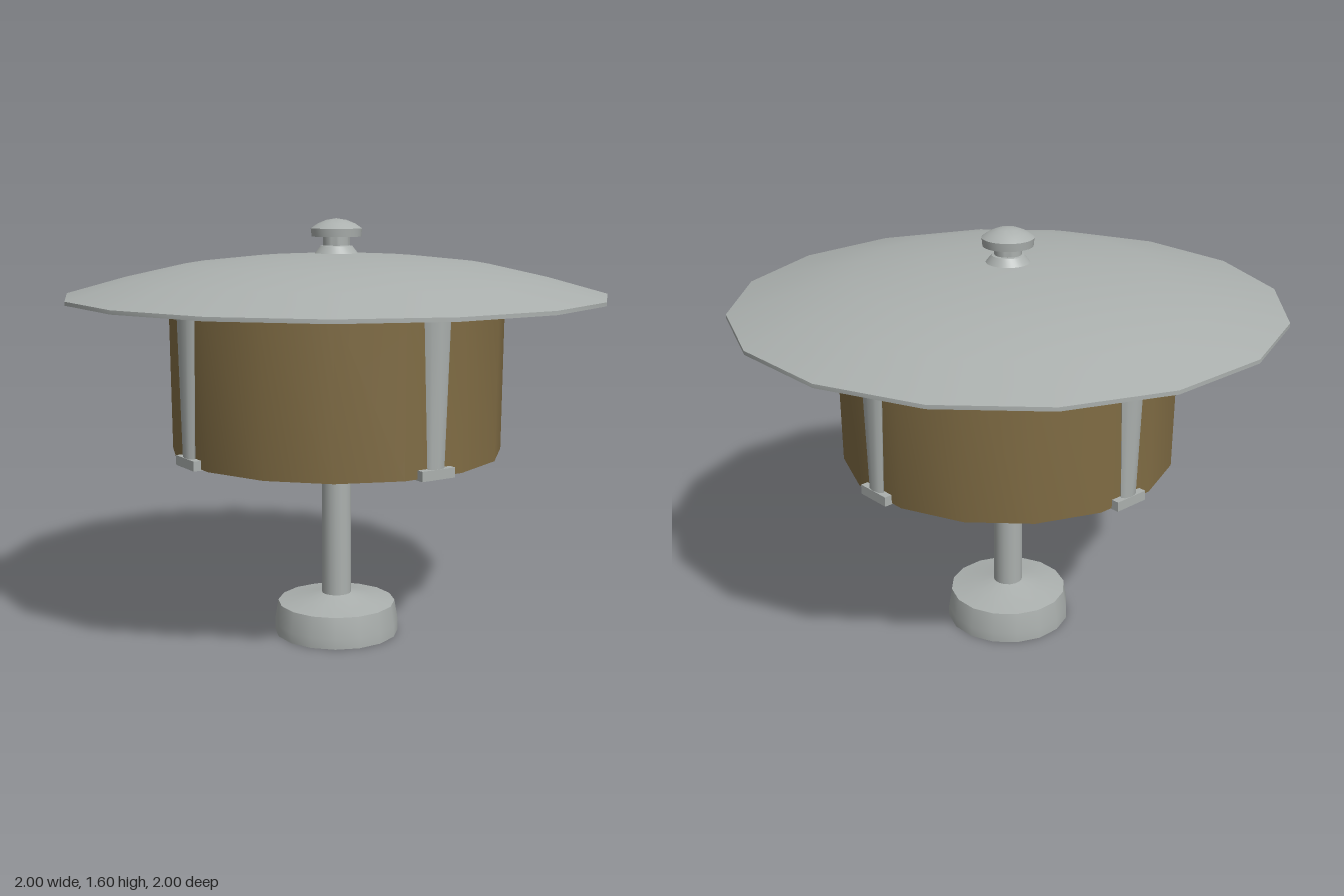
import * as THREE from 'three';
import { toCreasedNormals } from 'three/addons/utils/BufferGeometryUtils.js';

const SIDES = 16;
const FLAT = 1 / Math.cos(Math.PI / SIDES); // flat-to-flat radius -> corner radius

export function createModel() {
  const model = new THREE.Group();
  const material = (name, color) =>
    Object.assign(new THREE.MeshStandardMaterial({ color, side: THREE.DoubleSide }), { name });
  const metal = material('grey metal', 0xabb0ae);
  const amber = material('amber glass', 0x806c44);
  const darkRed = material('dark red', 0x2c0f12);
  const white = material('bulb white', 0xe4e4e2);

  const add = (name, geometry, mat, parent = model) => {
    const mesh = new THREE.Mesh(geometry, mat);
    mesh.name = name;
    parent.add(mesh);
    return mesh;
  };
  // Sixteen-sided turned part with flats facing the axes, profile as [radius, y]
  const turned = (name, profile, mat, parent) => {
    const points = profile.map(([r, y]) => new THREE.Vector2(r * FLAT, y));
    const geometry = new THREE.LatheGeometry(points, SIDES, Math.PI / SIDES);
    return add(name, toCreasedNormals(geometry, 0.6), mat, parent);
  };

  // Hollow base and post
  turned('base', [[0.237, 0], [0.237, 0.04], [0.224, 0.12], [0.13, 0.136], [0.053, 0.155]], metal);
  turned('post', [[0.056, 0.14], [0.053, 1.32]], metal);

  // Glass shade, open at the bottom, with the dark ceiling block above it
  turned('shade', [[0.618, 0.728], [0.623, 1.31]], amber);
  turned('ceiling', [[0.001, 1.308], [0.621, 1.308], [0.621, 1.415]], darkRed);

  // Shallow domed roof with a thin rim
  turned('roof', [[1, 1.308], [1, 1.322], [0.78, 1.384], [0.56, 1.434],
    [0.305, 1.461], [0.08, 1.473], [0.001, 1.474]], metal);

  // Finial: collar, neck and domed knob
  const finial = [[0.085, 1.468], [0.06, 1.5], [0.05, 1.502], [0.05, 1.535], [0.093, 1.535],
    [0.096, 1.565], [0.07, 1.583], [0.038, 1.596], [0.001, 1.602]]
    .map(([r, y]) => new THREE.Vector2(r, y));
  add('finial', toCreasedNormals(new THREE.LatheGeometry(finial, 32), 0.6), metal);

  // Four tapered straps with foot clips, on the diagonals
  for (let i = 0; i < 4; i++) {
    const bracket = new THREE.Group();
    bracket.name = 'bracket';
    bracket.rotation.y = Math.PI / 4 + i * Math.PI / 2;
    const strapShape = new THREE.CylinderGeometry(0.06, 0.036, 0.64, 8).scale(1, 1, 0.45);
    const strap = add('strap', toCreasedNormals(strapShape, 0.9), metal, bracket);
    strap.position.set(0, 1.05, 0.63);
    const foot = add('footClip', new THREE.BoxGeometry(0.14, 0.036, 0.045), metal, bracket);
    foot.position.set(0, 0.742, 0.625);
    model.add(bracket);
  }

  // Three bulbs hanging from the ceiling
  for (let i = 0; i < 3; i++) {
    const angle = Math.PI + i * Math.PI * 2 / 3;
    const lamp = new THREE.Group();
    lamp.name = 'lamp';
    lamp.position.set(0.3 * Math.cos(angle), 0, 0.3 * Math.sin(angle));
    add('bulb', new THREE.SphereGeometry(0.085, 20, 14), white, lamp).position.y = 1.125;
    add('socket', new THREE.CylinderGeometry(0.045, 0.045, 0.13, 16), metal, lamp).position.y = 1.25;
    model.add(lamp);
  }
  return model;
}
